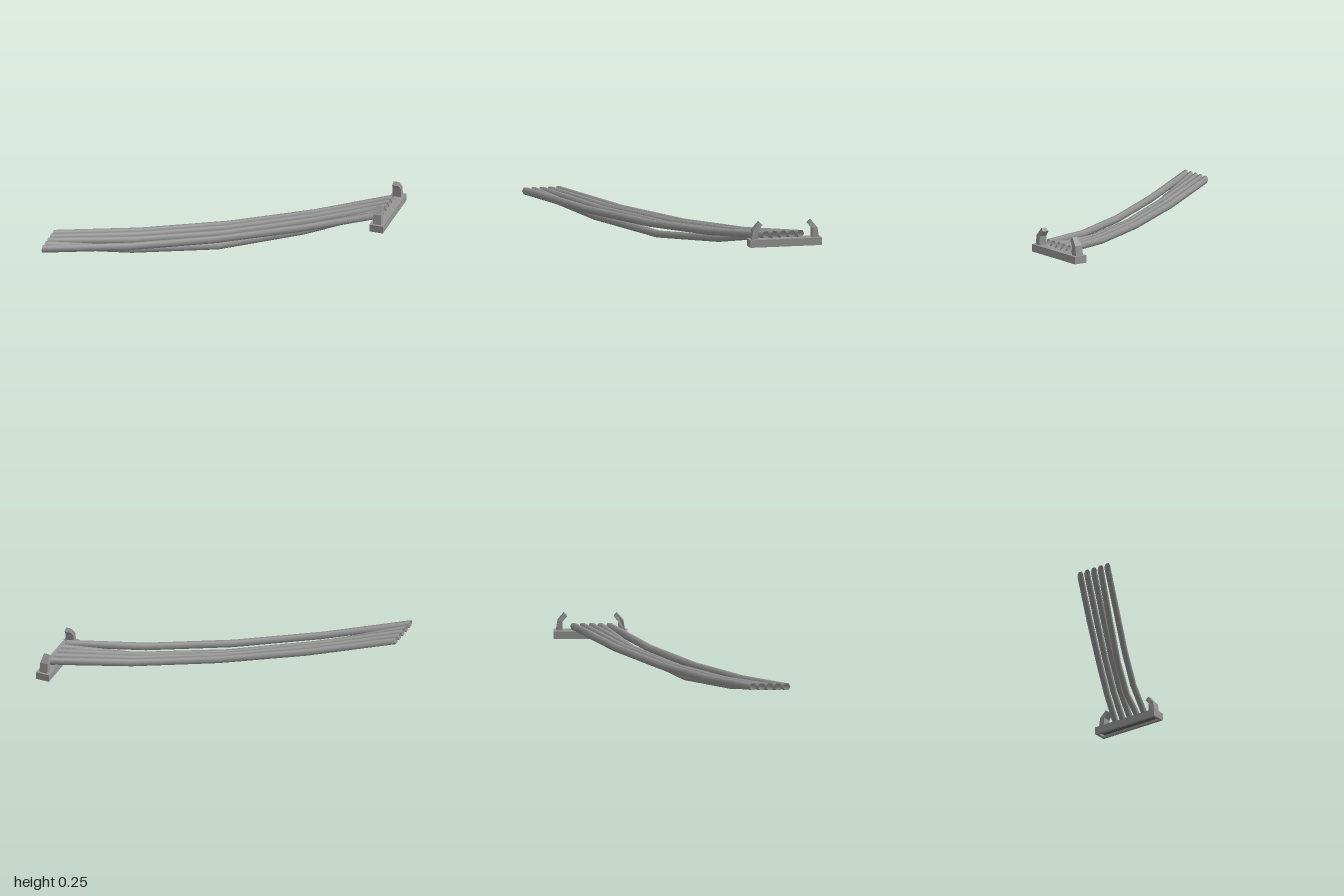
import * as THREE from 'three';
import { mergeVertices } from 'three/addons/utils/BufferGeometryUtils.js';

const material = new THREE.MeshStandardMaterial({ color: 0x959595 });
const openMaterial = new THREE.MeshStandardMaterial({ color: 0x959595, side: THREE.DoubleSide });
const darkMaterial = new THREE.MeshStandardMaterial({ color: 0x606060 });

// Stations along every cable: x, z of the rearmost and of the foremost cable
const STATION_X = [-1, -0.5, 0, 0.49, 0.95];
const REAR_Z = [0.53, 0.23, -0.071, -0.369, -0.645];
const FRONT_Z = [0.751, 0.451, 0.143, -0.153, -0.411];
const END_Y = 0.164;

// Height at the lowest point and at the quarter points, rear to front
const SAG = [[0.098, 0.115], [0.096, 0.114], [0.085, 0.107], [0.024, 0.068], [0.098, 0.115]];

// Open six-sided tube following the sagging path
function cableGeometry(index) {
  const [middle, quarter] = SAG[index];
  const heights = [END_Y, quarter, middle, quarter, END_Y];
  let geometry = new THREE.CylinderGeometry(1, 1, 4, 6, 4, true);
  geometry.rotateZ(-Math.PI / 2);
  geometry.deleteAttribute('normal');
  geometry.deleteAttribute('uv');
  geometry = mergeVertices(geometry);
  const p = geometry.attributes.position;
  for (let i = 0; i < p.count; i++) {
    const s = Math.round(p.getX(i) + 2);
    const z = THREE.MathUtils.lerp(REAR_Z[s], FRONT_Z[s], index / 4);
    p.setXYZ(i, STATION_X[s], heights[s] + p.getY(i) * 0.026, z + p.getZ(i) * 0.0245);
  }
  geometry.computeVertexNormals();
  return geometry;
}

// Bent prong: side profile extruded across x, narrowing towards the tip
function prongGeometry(side) {
  const profile = [[0.228, 0.13], [0.182, 0.13], [0.182, 0.2], [0.153, 0.235], [0.174, 0.256], [0.216, 0.205]];
  const shape = new THREE.Shape(profile.map(([z, y]) => new THREE.Vector2(-z * side, y)));
  const geometry = new THREE.ExtrudeGeometry(shape, { depth: 0.056, bevelEnabled: false });
  geometry.translate(0, 0, -0.028).rotateY(Math.PI / 2);
  const p = geometry.attributes.position;
  for (let i = 0; i < p.count; i++) {
    const taper = THREE.MathUtils.mapLinear(Math.max(p.getY(i), 0.2), 0.2, 0.256, 1, 0.68);
    p.setX(i, p.getX(i) * taper);
  }
  geometry.computeVertexNormals();
  return geometry;
}

export function createModel() {
  const model = new THREE.Group();
  const add = (parent, name, geometry, mat = material) => {
    const mesh = new THREE.Mesh(geometry, mat);
    mesh.name = name;
    parent.add(mesh);
    return mesh;
  };

  // Five hanging cables
  const cables = new THREE.Group();
  cables.name = 'cables';
  SAG.forEach((_, i) => add(cables, `cable${i + 1}`, cableGeometry(i), openMaterial));
  model.add(cables);

  // End bracket: top plate over a rim, with a dark panel set into the underside
  const bracket = new THREE.Group();
  bracket.name = 'bracket';
  bracket.position.set(0.953, 0, -0.536);
  add(bracket, 'topPlate', new THREE.BoxGeometry(0.094, 0.016, 0.484)).position.y = 0.132;
  add(bracket, 'undersidePanel', new THREE.BoxGeometry(0.054, 0.02, 0.444), darkMaterial).position.y = 0.114;
  const rim = new THREE.Shape();
  rim.moveTo(-0.047, -0.242).lineTo(0.047, -0.242).lineTo(0.047, 0.242).lineTo(-0.047, 0.242).closePath();
  const hollow = new THREE.Path();
  hollow.moveTo(-0.027, -0.222).lineTo(-0.027, 0.222).lineTo(0.027, 0.222).lineTo(0.027, -0.222).closePath();
  rim.holes.push(hollow);
  const rimGeometry = new THREE.ExtrudeGeometry(rim, { depth: 0.034, bevelEnabled: false });
  add(bracket, 'rim', rimGeometry.rotateX(-Math.PI / 2)).position.y = 0.09;

  // Mirrored prongs at both ends of the bracket
  for (const side of [1, -1]) {
    add(bracket, side > 0 ? 'frontProng' : 'rearProng', prongGeometry(side));
  }
  model.add(bracket);
  return model;
}
